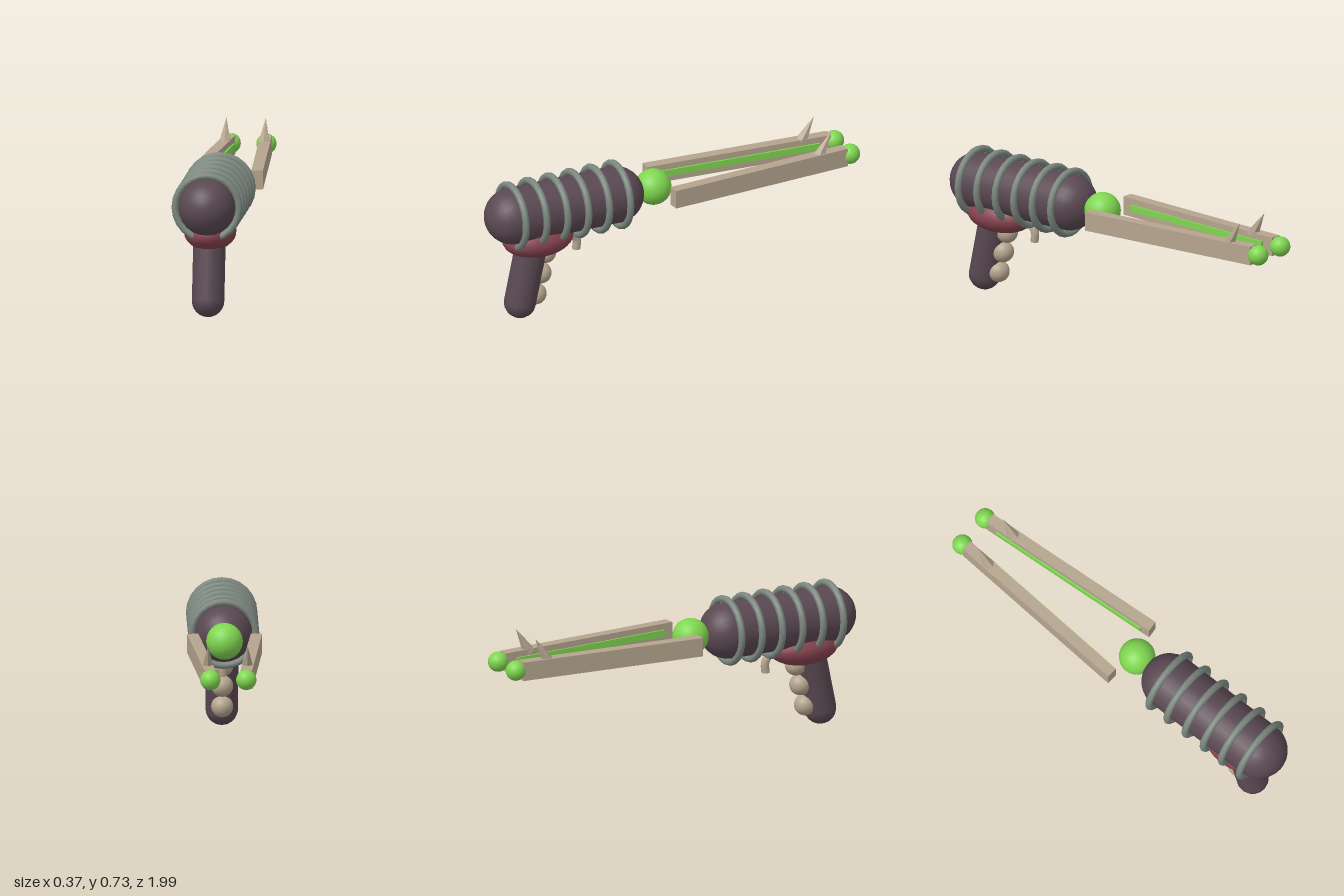
import * as THREE from 'three';

export function createModel() {
  const model = new THREE.Group();
  const paint = (name, color) => {
    const m = new THREE.MeshStandardMaterial({ color });
    m.name = name;
    return m;
  };
  const plum = paint('plum', 0x5a4852);
  const wine = paint('wine', 0x87434f);
  const steel = paint('steel', 0x7b877f);
  const bone = paint('bone', 0xb5a58e);
  const green = paint('green', 0x7fd650);

  const add = (name, geometry, material, x, y, z, parent = model) => {
    const mesh = new THREE.Mesh(geometry, material);
    mesh.name = name;
    mesh.position.set(x, y, z);
    parent.add(mesh);
    return mesh;
  };
  const ball = (r) => new THREE.SphereGeometry(r, 24, 16);
  const axisY = 0.552;

  // Barrel with its coils and the energy ball at the muzzle
  const barrel = add('barrel', new THREE.CapsuleGeometry(0.14, 0.565, 8, 24), plum, 0, axisY, 0.572);
  barrel.rotation.x = Math.PI / 2;
  for (let i = 0; i < 6; i++) {
    add('coil', new THREE.TorusGeometry(0.158, 0.0175, 10, 24), steel, 0, axisY, 0.857 - i * 0.1145);
  }
  add('muzzleBall', ball(0.09), green, 0, axisY, 0.083);

  // Housing under the barrel
  add('housing', ball(1), wine, 0, 0.408, 0.715).scale.set(0.128, 0.09, 0.185);

  // Tilted grip
  const low = new THREE.Vector3(0, 0.08, 0.812);
  const high = new THREE.Vector3(0, 0.4, 0.745);
  const grip = add('grip', new THREE.CapsuleGeometry(0.08, low.distanceTo(high), 6, 16), plum,
    0, (low.y + high.y) / 2, (low.z + high.z) / 2);
  grip.rotation.x = Math.atan2(high.z - low.z, high.y - low.y);

  // Finger bumps along the grip
  for (const [y, z] of [[0.108, 0.727], [0.215, 0.7], [0.32, 0.675]]) {
    add('fingerBump', ball(0.054), bone, 0, y, z);
  }

  // Curved trigger with a capped end
  const path = new THREE.CatmullRomCurve3([
    [0.565, 0.415], [0.525, 0.39], [0.503, 0.355], [0.505, 0.305],
  ].map(([z, y]) => new THREE.Vector3(0, y, z)));
  add('trigger', new THREE.TubeGeometry(path, 12, 0.021, 10), bone, 0, 0, 0);
  const cap = add('triggerEnd', new THREE.CircleGeometry(0.021, 10), bone, 0, 0.305, 0.505);
  cap.lookAt(cap.position.clone().add(path.getTangent(1)));

  // Two converging prongs, mirrored left and right
  for (const s of [1, -1]) {
    const prong = new THREE.Group();
    prong.name = s > 0 ? 'leftProng' : 'rightProng';
    prong.position.set(s * 0.123, axisY - 0.003, -0.435);
    prong.rotation.y = s * Math.atan2(0.066, 0.97);
    model.add(prong);
    add('prongBar', new THREE.BoxGeometry(0.056, 0.094, 0.975), bone, 0, 0, 0, prong);
    add('glowStrip', new THREE.BoxGeometry(0.02, 0.033, 0.865), green, -s * 0.027, 0, 0.005, prong);

    add('tipBall', ball(0.05), green, s * 0.088, axisY, -0.95);

    // Faceted spike leaning towards the tip
    const cone = new THREE.ConeGeometry(0.032, 0.14, 6);
    cone.translate(0, 0.07, 0);
    const spike = add('spike', cone.toNonIndexed(), bone, s * 0.097, 0.579, -0.775);
    spike.geometry.computeVertexNormals();
    spike.rotation.x = -0.525;
  }
  return model;
}
